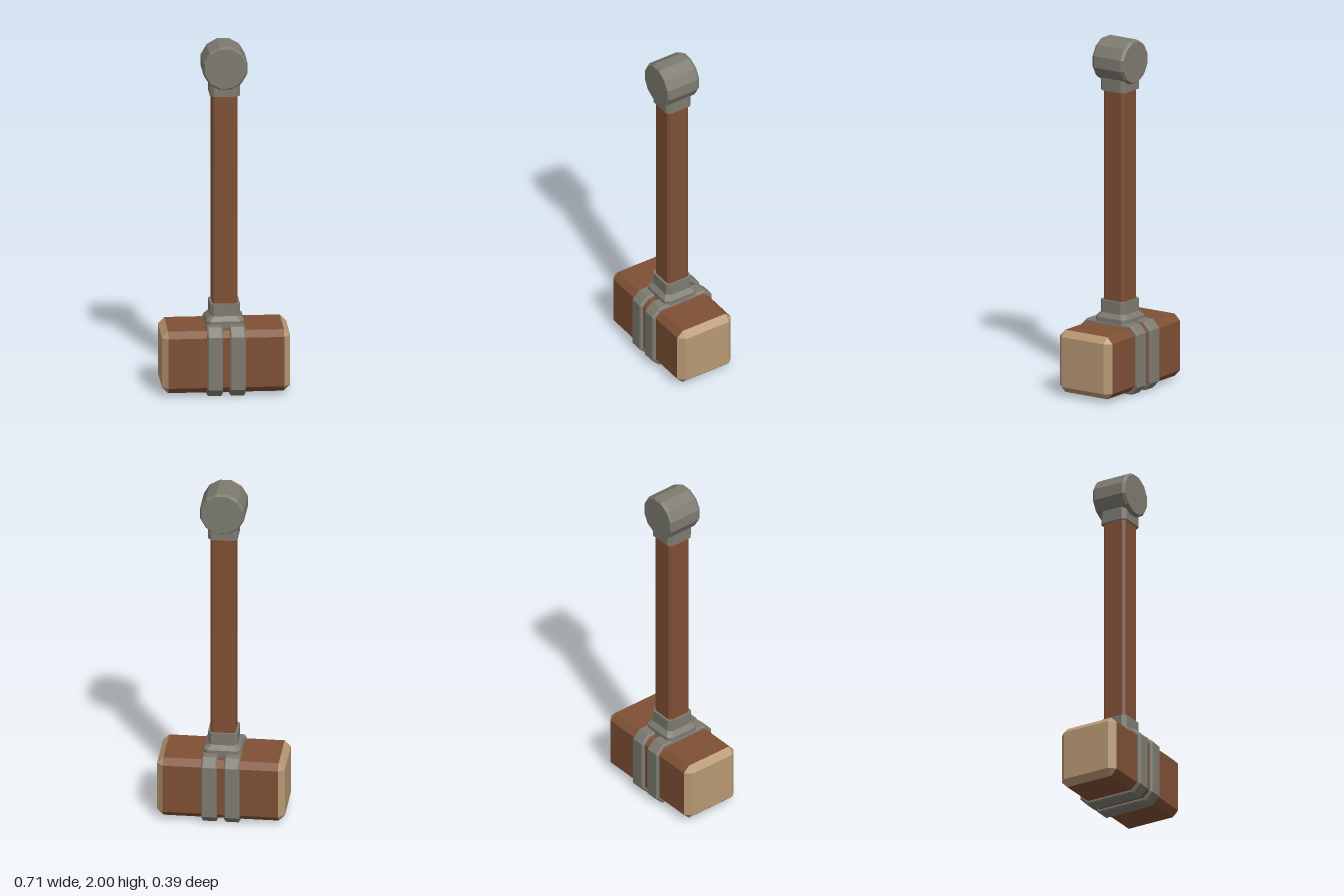
import * as THREE from 'three';

const material = (color) => new THREE.MeshStandardMaterial({ color, flatShading: true });

// Rectangle with cut corners in the xz plane (8 points) at height y
function ring([y, w, d, c]) {
  return [
    [w, d - c], [w - c, d], [-w + c, d], [-w, d - c],
    [-w, -d + c], [-w + c, -d], [w - c, -d], [w, -d + c],
  ].map(([x, z]) => new THREE.Vector3(x, y, z));
}

// Skin sections [y, halfWidth, halfDepth, cornerCut] from bottom to top
function loft(sections, capBottom = true, capTop = true) {
  const rings = sections.map(ring);
  const points = [];
  const tri = (a, b, c) => {
    if (!a.equals(b) && !b.equals(c) && !a.equals(c)) points.push(a, b, c);
  };
  for (let i = 0; i < rings.length - 1; i++) {
    for (let j = 0; j < 8; j++) {
      const k = (j + 1) % 8;
      const [low, high] = [rings[i], rings[i + 1]];
      tri(low[j], high[j], high[k]);
      tri(low[j], high[k], low[k]);
    }
  }
  const first = rings[0], last = rings[rings.length - 1];
  for (let j = 1; j < 7; j++) {
    if (capBottom) tri(first[0], first[j], first[j + 1]);
    if (capTop) tri(last[0], last[j + 1], last[j]);
  }
  const geometry = new THREE.BufferGeometry().setFromPoints(points);
  geometry.computeVertexNormals();
  return geometry;
}

export function createModel() {
  const model = new THREE.Group();
  model.name = 'hammer';
  const wood = material(0x7f5035);
  const endGrain = material(0xb89874);
  const metal = material(0x7d7b70);

  const add = (name, geometry, mat, x = 0, y = 0) => {
    const mesh = new THREE.Mesh(geometry, mat);
    mesh.name = name;
    mesh.position.set(x, y, 0);
    model.add(mesh);
    return mesh;
  };

  // Wooden head, lying along x
  const headY = 0.198, cut = 0.035, bodyX = 0.322;
  const body = [0.178, 0.178, cut];
  add('headBlock', loft([[-bodyX, ...body], [bodyX, ...body]], false, false)
    .rotateZ(-Math.PI / 2), wood, 0, headY);

  for (const side of [-1, 1]) {
    const label = side > 0 ? 'left' : 'right';

    // Bevelled pale striking face
    const face = loft([[bodyX, ...body], [bodyX + cut, 0.143, 0.143, 0]], false, true);
    add(label + 'StrikingFace', face.rotateZ(-side * Math.PI / 2), endGrain, 0, headY);

    // Metal band around the head
    const band = loft([
      [-0.044, 0.189, 0.188, 0.043], [-0.036, 0.198, 0.197, 0.046],
      [0.036, 0.198, 0.197, 0.046], [0.044, 0.189, 0.188, 0.043],
    ]);
    add(label + 'Band', band.rotateZ(-Math.PI / 2), metal, side * 0.063, headY);
  }

  // Handle with cut corners
  const shaft = [0.07, 0.07, 0.013];
  add('handle', loft([[0.38, ...shaft], [1.76, ...shaft]]), wood);

  // Flared collar where the handle meets the head
  add('lowerCollar', loft([
    [0.37, 0.105, 0.105, 0.022], [0.415, 0.105, 0.105, 0.022],
    [0.44, 0.083, 0.083, 0.02], [0.51, 0.083, 0.083, 0.02],
  ]), metal);

  // Collar under the pommel
  add('upperCollar', loft([[1.71, 0.083, 0.083, 0.02], [1.8, 0.083, 0.083, 0.02]]), metal);

  // Twelve-sided pommel lying along z
  const profile = [[0, -0.106], [0.117, -0.106], [0.127, -0.09],
    [0.127, 0.09], [0.117, 0.106], [0, 0.106]].map(([r, y]) => new THREE.Vector2(r, y));
  add('pommel', new THREE.LatheGeometry(profile, 12, Math.PI / 12)
    .rotateX(Math.PI / 2), metal, 0, 1.877);

  return model;
}
